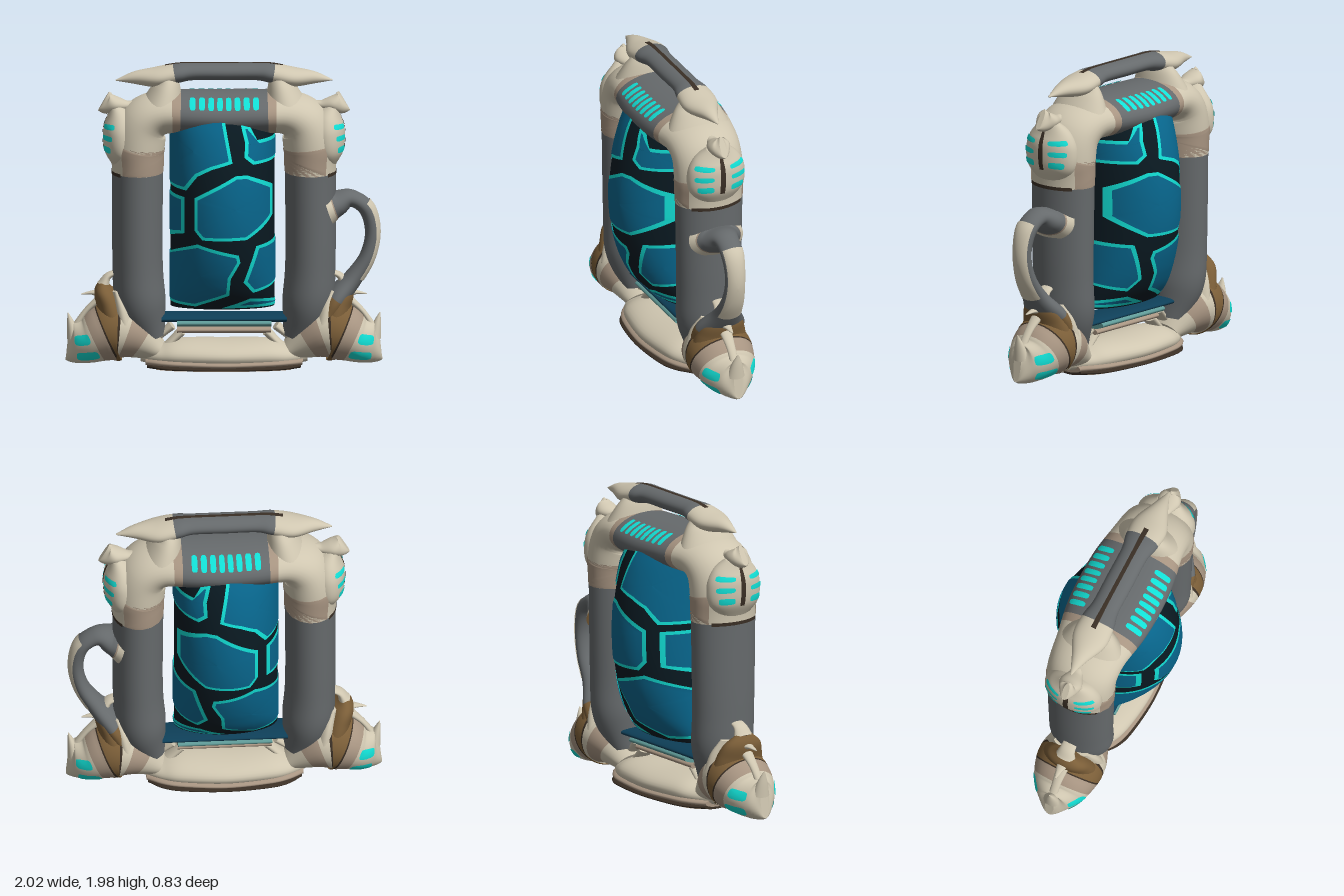
import * as THREE from 'three';

const paint = (name, color) => Object.assign(
  new THREE.MeshStandardMaterial({ color, side: THREE.DoubleSide }), { name });
const M = {
  cream: paint('cream', 0xcfc6b0), tan: paint('tan', 0xa89582), brown: paint('brown', 0x7b5e38),
  dark: paint('dark brown', 0x3a2f25), grey: paint('grey', 0x666a6c), teal: paint('teal', 0x08678e),
  cyan: paint('cyan', 0x12e0d6), black: paint('black', 0x0a1a22), navy: paint('navy', 0x0e3f58),
  pale: paint('pale teal', 0x5f9a97),
};
const RADIAL = 36, STEPS = 8;

// Surface swept through rows of [x, y, half width, half depth]; t counts rows, a is the angle round it
function surface(rows) {
  const n = rows.length - 1;
  const path = new THREE.CatmullRomCurve3(rows.map(r => new THREE.Vector3(r[0], r[1], 0)), false, 'catmullrom');
  const size = new THREE.CatmullRomCurve3(rows.map(r => new THREE.Vector3(r[2], r[3], 0)), false, 'catmullrom');
  const at = (t, a, off = 0) => {
    const u = Math.min(1, Math.max(0, t / n));
    const c = path.getPoint(u), s = size.getPoint(u), d = path.getTangent(u);
    const w = (Math.max(s.x, 0.001) + off) * Math.cos(a);
    return [c.x - d.y * w, c.y + d.x * w, (Math.max(s.y, 0.001) + off) * Math.sin(a)];
  };
  return { at, n };
}

function makeMesh(parent, name, pos, idx, material) {
  const g = new THREE.BufferGeometry();
  g.setAttribute('position', new THREE.Float32BufferAttribute(pos, 3));
  g.setIndex(idx);
  g.computeVertexNormals();
  const mesh = new THREE.Mesh(g, material);
  mesh.name = name;
  parent.add(mesh);
  return mesh;
}

// Closed sweep; bands is a material or a list of [end row, material]
function sweep(parent, name, rows, bands) {
  const s = surface(rows), rings = s.n * STEPS, pos = [], idx = [];
  for (let i = 0; i <= rings; i++)
    for (let j = 0; j < RADIAL; j++) pos.push(...s.at(i / STEPS, j / RADIAL * Math.PI * 2));
  for (let i = 0; i < rings; i++)
    for (let j = 0; j < RADIAL; j++) {
      const k = (j + 1) % RADIAL, a = i * RADIAL, b = a + RADIAL;
      idx.push(a + j, a + k, b + j, a + k, b + k, b + j);
    }
  for (const end of [0, rings]) {
    const base = pos.length / 3;
    for (let j = 0; j < RADIAL; j++) pos.push(...s.at(end / STEPS, j / RADIAL * Math.PI * 2));
    for (let j = 1; j < RADIAL - 1; j++)
      idx.push(base, ...(end ? [base + j, base + j + 1] : [base + j + 1, base + j]));
  }
  const list = Array.isArray(bands) ? bands : [[s.n, bands]];
  const mesh = makeMesh(parent, name, pos, idx, list.map(b => b[1]));
  let start = 0;
  list.forEach(([end], m) => {
    const stop = m === list.length - 1 ? idx.length : Math.round(end * STEPS) * RADIAL * 6;
    mesh.geometry.addGroup(start, stop - start, m);
    start = stop;
  });
  return s;
}

// Thin painted patch: a polygon in (t, a) laid on a swept surface
function patch(parent, name, s, poly, material, off = 0.005, sub = 8, rings = 7) {
  const edge = [];
  poly.forEach((p, i) => {
    const q = poly[(i + 1) % poly.length];
    for (let k = 0; k < sub; k++) edge.push([p[0] + (q[0] - p[0]) * k / sub, p[1] + (q[1] - p[1]) * k / sub]);
  });
  const c = [0, 1].map(k => poly.reduce((v, p) => v + p[k], 0) / poly.length);
  const pos = [], idx = [], n = edge.length;
  for (let r = 0; r <= rings; r++)
    for (const e of edge) pos.push(...s.at(c[0] + (e[0] - c[0]) * r / rings, c[1] + (e[1] - c[1]) * r / rings, off));
  for (let r = 0; r < rings; r++)
    for (let j = 0; j < n; j++) {
      const k = (j + 1) % n, a = r * n, b = a + n;
      if (r) idx.push(a + j, a + k, b + j);
      idx.push(a + k, b + k, b + j);
    }
  makeMesh(parent, name, pos, idx, material);
}
const oval = (t, a, rt, ra) => Array.from({ length: 20 }, (_, i) => {
  const q = i / 10 * Math.PI, f = v => Math.sign(v) * Math.sqrt(Math.abs(v));
  return [t + rt * f(Math.cos(q)), a + ra * f(Math.sin(q))];
});
const rect = (t0, t1, a, mid = 0) => [[t0, mid - a], [t1, mid - a], [t1, mid + a], [t0, mid + a]];

// Move every edge of a clockwise polygon inwards by w
const inset = (poly, w) => poly.map((p, i) => {
  const n = poly.length, o = poly[(i + n - 1) % n], q = poly[(i + 1) % n];
  const normal = (u, v) => {
    const l = Math.hypot(v[0] - u[0], v[1] - u[1]);
    return [(v[1] - u[1]) / l, (u[0] - v[0]) / l];
  };
  const a = normal(o, p), b = normal(p, q), k = w / (1 + a[0] * b[0] + a[1] * b[1]);
  return [p[0] + (a[0] + b[0]) * k, p[1] + (a[1] + b[1]) * k];
});

// Complete a left half, ending on the centre line, with its mirror
const mirrorRows = half => [...half, ...half.slice(0, -1).reverse().map(([x, ...r]) => [-x, ...r])];
const mirrorBands = (half, n) => {
  const ends = half.map(b => b[0]), last = half.length - 1;
  return [...half.slice(0, last), [n - ends[last - 1], half[last][1]],
    ...half.slice(0, last).map((b, i) => [n - (i ? ends[i - 1] : 0), b[1]]).reverse()];
};

export function createModel() {
  const model = new THREE.Group();
  model.name = 'framedTank';

  // Frame: two columns joined over the top
  const frame = sweep(model, 'frame', mirrorRows([
    [-0.47, 0.2, 0.1, 0.12], [-0.53, 0.42, 0.16, 0.205], [-0.55, 0.7, 0.16, 0.215], [-0.55, 1.28, 0.163, 0.225],
    [-0.55, 1.45, 0.173, 0.23], [-0.51, 1.59, 0.162, 0.23], [-0.4, 1.66, 0.137, 0.24],
    [-0.2, 1.665, 0.135, 0.275], [0, 1.66, 0.14, 0.285]]),
  mirrorBands([[3, M.grey], [6.375, M.cream], [6.625, M.tan], [8, M.grey]], 16));
  for (const [t0, t1, d] of [[3, 4, 2.97], [12, 13, 12.97]]) {
    patch(model, 'elbowBand', frame, rect(t0, t1, 2.2, Math.PI), M.tan, 0.003, 12, 12);
    patch(model, 'elbowEdge', frame, rect(d, d + 0.06, 0.85), M.dark, 0.003, 12, 6);
  }
  for (const side of [1, -1])
    for (let i = 0; i < 8; i++)
      patch(model, 'topLight', frame, oval(8 + (i - 3.5) * 0.29, side * 0.85, 0.095, 0.3), M.cyan, 0.005, 1, 5);

  // Bulging tank with a cell pattern on both faces
  const y0 = 0.41, y1 = 1.69, rows = [];
  for (let i = 0; i <= 12; i++) {
    const y = y0 + (y1 - y0) * i / 12;
    rows.push([-0.01, y, 0.33, 0.408 * Math.sqrt(1 - ((y - 1.1) / 0.75) ** 2)]);
  }
  const tank = sweep(model, 'tank', rows, M.black);
  const cells = [
    [[-0.38, 1.6], [-0.26, 1.63], [-0.15, 1.665], [0, 1.67], [0.02, 1.56], [0.05, 1.4], [-0.08, 1.36],
      [-0.17, 1.31], [-0.24, 1.21], [-0.38, 1.21]],
    [[0.1, 1.64], [0.16, 1.62], [0.18, 1.53], [0.37, 1.53], [0.37, 1.38], [0.18, 1.38], [0.125, 1.43], [0.13, 1.52]],
    [[-0.19, 1.17], [0.07, 1.32], [0.14, 1.32], [0.305, 1.22], [0.305, 1.03], [0.14, 0.9], [-0.14, 0.9], [-0.19, 0.96]],
    [[-0.38, 1.17], [-0.25, 1.165], [-0.25, 0.93], [-0.38, 0.87]],
    [[-0.38, 0.76], [-0.17, 0.87], [0.09, 0.8], [0.1, 0.75], [0.04, 0.64], [0.03, 0.52], [-0.18, 0.43], [-0.38, 0.45]],
    [[0.37, 0.87], [0.2, 0.85], [0.12, 0.61], [0.18, 0.53], [0.37, 0.58]].reverse(),
    [[-0.02, 0.42], [0.16, 0.49], [0.37, 0.46], [0.37, 0.42]],
  ];
  const onTank = ([x, y], side) => [(y - y0) / (y1 - y0) * 12,
    side * Math.acos(Math.min(1, Math.max(-1, -(x + 0.01) / 0.33)))];
  for (const cell of cells)
    for (const side of [1, -1]) {
      patch(model, 'cellOutline', tank, cell.map(p => onTank(p, side)), M.cyan, 0.004);
      patch(model, 'cell', tank, inset(cell, 0.021).map(p => onTank(p, side)), M.teal, 0.008);
    }

  // Carrying handle ending in horns
  const grip = sweep(model, 'topHandle', mirrorRows([
    [-0.69, 1.868, 0.003, 0.005], [-0.57, 1.885, 0.04, 0.055], [-0.43, 1.89, 0.062, 0.115],
    [-0.3, 1.915, 0.062, 0.11], [-0.2, 1.925, 0.055, 0.09], [0, 1.925, 0.055, 0.09]]),
  mirrorBands([[2.875, M.cream], [5, M.grey]], 10));
  patch(model, 'topSeam', grip, rect(2.5, 7.5, 0.14), M.dark, 0.003);

  // Parts repeated left and right
  for (const m of [1, -1]) {
    const flip = r => r.map(([x, ...rest]) => [x * m, ...rest]);
    const part = (name, r, bands) => sweep(model, name, flip(r), bands);
    const mark = (name, s, poly, mat, off) =>
      patch(model, name, s, poly.map(([t, a]) => [t, m > 0 ? a : Math.PI - a]), mat, off, poly.length > 4 ? 1 : 8, 5);

    part('hornRoot', [[-0.38, 1.91, 0.06, 0.09], [-0.365, 1.84, 0.085, 0.15], [-0.39, 1.7, 0.14, 0.22]], M.cream);

    // Shoulder pad and ear
    const pad = part('shoulderPad', [[-0.66, 1.31, 0.045, 0.1], [-0.655, 1.41, 0.105, 0.185],
      [-0.655, 1.53, 0.115, 0.195], [-0.665, 1.62, 0.095, 0.16], [-0.69, 1.7, 0.04, 0.08]], M.cream);
    part('ear', [[-0.766, 1.735, 0.07, 0.02], [-0.74, 1.72, 0.07, 0.06], [-0.69, 1.715, 0.05, 0.075],
      [-0.62, 1.71, 0.028, 0.045], [-0.56, 1.735, 0.003, 0.01]], M.cream);
    for (const side of [1, -1])
      [[1.25, 0.18, 0.32], [1.9, 0.17, 0.38], [2.75, 0.22, 0.46]].forEach(([t, rt, ra]) =>
        mark('padLight', pad, oval(t, side * (0.3 + ra), rt, ra), M.cyan));
    mark('padSeam', pad, rect(0.9, 3.9, 0.09), M.dark, 0.003);

    // Foot with its bands, lights and fangs
    const foot = part('foot', [[-0.995, 0.17, 0.11, 0.03], [-0.95, 0.165, 0.13, 0.11], [-0.86, 0.18, 0.145, 0.175],
      [-0.76, 0.225, 0.185, 0.212], [-0.68, 0.25, 0.2, 0.22], [-0.58, 0.22, 0.165, 0.2], [-0.42, 0.12, 0.07, 0.12]],
    [[2.375, M.cream], [3.125, M.tan], [3.25, M.dark], [4, M.brown], [4.125, M.dark], [4.625, M.cream],
      [5.375, M.tan], [6, M.cream]]);
    for (const side of [1, -1]) {
      mark('footLight', foot, oval(1.6, side * 1.3, 0.6, 0.24), M.cyan);
      mark('footLight', foot, oval(1.7, side * 2.12, 0.6, 0.24), M.cyan);
    }
    part('ankle', [[-0.7, 0.32, 0.1, 0.19], [-0.73, 0.42, 0.085, 0.165], [-0.765, 0.5, 0.065, 0.13],
      [-0.775, 0.56, 0.03, 0.06]], M.brown);
    part('ankleCuff', [[-0.63, 0.3, 0.075, 0.205], [-0.655, 0.42, 0.06, 0.175], [-0.69, 0.52, 0.03, 0.12]], M.cream);
    part('toeHorn', [[-0.955, 0.2, 0.045, 0.06], [-0.975, 0.29, 0.025, 0.035], [-0.993, 0.36, 0.003, 0.005]], M.cream);
    part('fang', [[-0.965, 0.24, 0.025, 0.03], [-0.88, 0.37, 0.018, 0.03], [-0.76, 0.48, 0.03, 0.05]], M.cream);
    part('spur', [[-0.91, 0.48, 0.003, 0.005], [-0.83, 0.49, 0.016, 0.03], [-0.76, 0.47, 0.04, 0.07]], M.cream);
    part('ankleLoop', [[-0.77, 0.54, 0.04, 0.07], [-0.735, 0.6, 0.022, 0.05],
      [-0.66, 0.625, 0.018, 0.05], [-0.58, 0.61, 0.04, 0.08]], [[1.75, M.cream], [3, M.grey]]);

    // Slanted struts under the columns
    part('outerStrut', [[-0.52, 0.11, 0.04, 0.07], [-0.42, 0.2, 0.022, 0.05], [-0.33, 0.28, 0.03, 0.07]], M.cream);
    part('innerStrut', [[-0.43, 0.08, 0.03, 0.08], [-0.35, 0.16, 0.025, 0.06], [-0.27, 0.24, 0.03, 0.06]], M.cream);
  }

  // Base and cross bars
  sweep(model, 'base', mirrorRows([[-0.53, 0.09, 0.045, 0.06], [-0.4, 0.09, 0.07, 0.15],
    [-0.27, 0.1, 0.09, 0.2], [0, 0.1, 0.09, 0.23]]), M.cream);
  sweep(model, 'baseBand', mirrorRows([[-0.5, 0.055, 0.03, 0.1], [-0.4, 0.058, 0.035, 0.172],
    [-0.27, 0.058, 0.038, 0.214], [0, 0.055, 0.038, 0.241]]), M.tan);
  const rim = sweep(model, 'baseRim', mirrorRows([[-0.49, 0.03, 0.022, 0.1], [-0.4, 0.03, 0.024, 0.18],
    [-0.27, 0.03, 0.024, 0.225], [0, 0.03, 0.024, 0.25]]), M.dark);
  patch(model, 'sole', rim, rect(0.7, 5.3, 0.95, Math.PI), M.tan, 0.004, 12, 8);
  const bar = (name, x, y, h, d, mat) => sweep(model, name, [[-x, y, h, d], [0, y, h, d], [x, y, h, d]], mat);
  bar('lowerBar', 0.3, 0.255, 0.025, 0.07, M.tan);
  bar('paleBar', 0.3, 0.308, 0.032, 0.12, M.pale);
  bar('navyBar', 0.4, 0.333, 0.028, 0.11, M.navy);

  // Side handle with a flange and a pale outer stripe
  const loop = sweep(model, 'sideHandle', [[0.66, 1.05, 0.12, 0.19], [0.72, 1.07, 0.085, 0.14],
    [0.81, 1.1, 0.055, 0.085], [0.91, 1.03, 0.052, 0.075], [0.945, 0.88, 0.048, 0.065], [0.91, 0.72, 0.05, 0.075],
    [0.82, 0.58, 0.06, 0.1], [0.72, 0.46, 0.075, 0.17], [0.66, 0.36, 0.08, 0.18]],
  [[0.625, M.cream], [0.75, M.tan], [7, M.grey], [8, M.brown]]);
  patch(model, 'handleStripe', loop, rect(2.75, 5.8, 1.05), M.cream, 0.005, 10, 10);
  return model;
}
